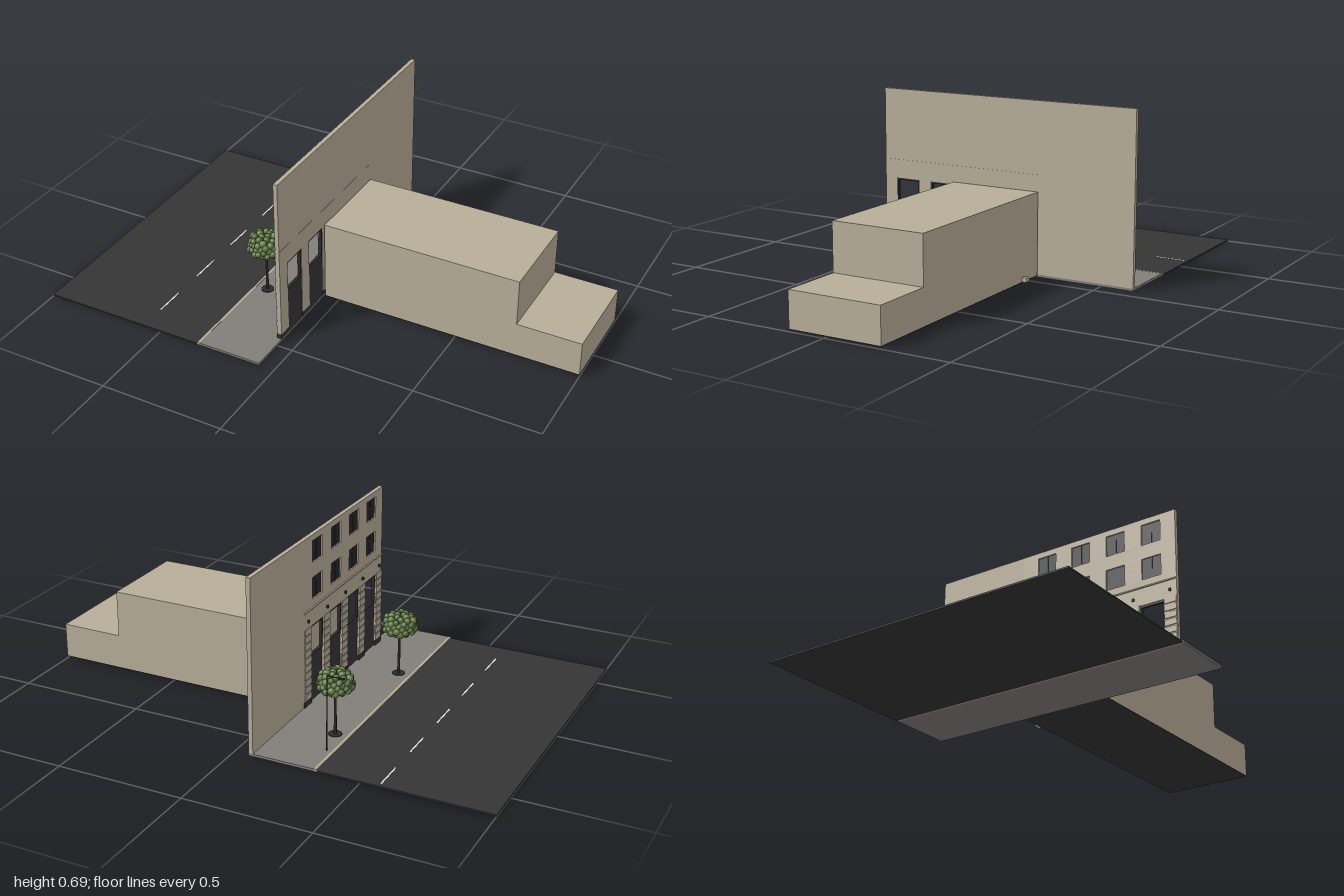
import * as THREE from 'three';

const mat = (name, color) => {
  const m = new THREE.MeshStandardMaterial({ color });
  m.name = name;
  return m;
};

export function createModel() {
  const root = new THREE.Group();
  root.name = 'streetBuilding';
  const stone = mat('stone', 0xb8ae99);
  const asphalt = mat('asphalt', 0x353535);
  const paving = mat('paving', 0x827e7a);
  const white = mat('roadPaint', 0xf2f2f2);
  const glass = mat('darkGlass', 0x242628);
  const metal = mat('darkMetal', 0x2c2c2c);
  const leaf = mat('leaf', 0x66804a);
  const leafDark = mat('leafDark', 0x57713d);

  // Box from its minimum and maximum along each axis
  const box = (name, m, x0, x1, y0, y1, z0, z1, parent = root) => {
    const mesh = new THREE.Mesh(new THREE.BoxGeometry(x1 - x0, y1 - y0, z1 - z0), m);
    mesh.position.set((x0 + x1) / 2, (y0 + y1) / 2, (z0 + z1) / 2);
    mesh.name = name;
    parent.add(mesh);
    return mesh;
  };
  const rod = (name, m, r0, r1, x, y0, y1, z, parent = root) => {
    const mesh = new THREE.Mesh(new THREE.CylinderGeometry(r1, r0, y1 - y0, 10), m);
    mesh.position.set(x, (y0 + y1) / 2, z);
    mesh.name = name;
    parent.add(mesh);
    return mesh;
  };

  // Road, kerb and pavement
  box('road', asphalt, -1, -0.33, 0, 0.006, -0.635, 0.635);
  box('kerb', stone, -0.332, -0.322, 0.001, 0.0115, -0.635, 0.635);
  box('pavement', paving, -0.322, -0.062, 0.001, 0.011, -0.635, 0.635);
  for (let i = 0; i < 5; i++) {
    const z = -0.618 + i * 0.254;
    box('roadDash', white, -0.575, -0.569, 0.006, 0.007, z, z + 0.126);
  }

  // Rear volumes with a dark floor slab
  box('mainHall', stone, -0.055, 0.745, 0.011, 0.337, -0.233, 0.145);
  box('rearAnnex', stone, 0.745, 1, 0.011, 0.149, -0.233, 0.145);
  box('floorSlab', asphalt, -0.055, 1, 0.008, 0.011, -0.233, 0.145);
  box('wallUnit', stone, 0.042, 0.065, 0.011, 0.028, -0.252, -0.233);

  // Street wall: plain side, then the facade
  const back = -0.062, mid = -0.07, front = -0.079;
  const bays = [-0.1175, 0.0425, 0.2025, 0.3625];
  box('plainWall', stone, front, back, 0.011, 0.687, -0.635, -0.23);
  const facade = new THREE.Group();
  facade.name = 'facade';
  root.add(facade);
  box('upperWallBack', stone, mid, back, 0.332, 0.687, -0.23, 0.47, facade);

  // Front layer of the upper wall, with recessed windows
  const shape = new THREE.Shape();
  shape.moveTo(-0.23, 0.332).lineTo(0.47, 0.332).lineTo(0.47, 0.687).lineTo(-0.23, 0.687).closePath();
  const rows = [0.475, 0.62], hw = 0.042, hh = 0.043;
  for (const z of bays) for (const y of rows) {
    const hole = new THREE.Path();
    hole.moveTo(z - hw, y - hh).lineTo(z - hw, y + hh).lineTo(z + hw, y + hh).lineTo(z + hw, y - hh).closePath();
    shape.holes.push(hole);
    box('upperWindow', glass, mid - 0.003, mid, y - hh, y + hh, z - hw, z + hw, facade);
    box('windowMullion', metal, mid - 0.005, mid - 0.003, y - hh, y + hh, z - 0.002, z + 0.002, facade);
  }
  const geo = new THREE.ExtrudeGeometry(shape, { depth: mid - front, bevelEnabled: false });
  geo.rotateY(-Math.PI / 2).translate(mid, 0, 0);
  const upper = new THREE.Mesh(geo, stone);
  upper.name = 'upperWallFront';
  facade.add(upper);
  box('cornice', stone, -0.085, back + 0.001, 0.397, 0.402, -0.23, 0.47, facade);

  // Banded piers with a dark plinth and a small lamp over each
  for (let i = 0; i < 5; i++) {
    const z = -0.1975 + i * 0.16, w = i ? 0.0275 : 0.0325;
    box('pier', stone, front, back, 0.032, 0.332, z - w, z + 0.0275, facade);
    box('plinth', asphalt, -0.083, back, 0.011, 0.032, z - w, z + 0.0275, facade);
    for (let k = 0; k < 10; k++) {
      const y = 0.034 + k * 0.03;
      box('pierBlock', stone, -0.083, front, y, y + 0.024, z - 0.026, z + 0.026, facade);
    }
    box('pierLamp', metal, -0.087, front, 0.352, 0.362, z - 0.004, z + 0.004, facade);
  }

  // Shopfront bays: solid lower panel and open framed window above
  for (const z of bays) {
    const a = z - 0.0525, b = z + 0.0525;
    box('lowerPanel', asphalt, -0.074, -0.064, 0.011, 0.2, a, b, facade);
    box('frameSill', metal, -0.076, -0.064, 0.2, 0.205, a, b, facade);
    box('frameHead', metal, -0.076, -0.064, 0.319, 0.326, a, b, facade);
    box('bayLintel', stone, front, back, 0.326, 0.332, a, b, facade);
    for (const [p, q] of [[a, a + 0.005], [b - 0.005, b]])
      box('frameSide', metal, -0.076, -0.064, 0.205, 0.319, p, q, facade);
  }

  // Trees with clustered foliage
  const puff = new THREE.SphereGeometry(1, 10, 8);
  for (const z of [-0.365, 0.215]) {
    const tree = new THREE.Group();
    tree.name = 'tree';
    tree.position.set(-0.275, 0, z);
    root.add(tree);
    rod('treeGrate', metal, 0.026, 0.026, 0, 0.011, 0.014, 0, tree);
    rod('trunk', metal, 0.006, 0.004, 0, 0.011, 0.2, 0, tree);
    for (let i = 0; i < 4; i++) {
      const branch = rod('branch', metal, 0.002, 0.002, 0, 0, 0.06, 0, tree);
      const t = i * Math.PI / 2 + 0.4;
      const dir = new THREE.Vector3(Math.cos(t), 1, Math.sin(t)).normalize();
      branch.quaternion.setFromUnitVectors(new THREE.Vector3(0, 1, 0), dir);
      branch.position.set(0, 0.16, 0).addScaledVector(dir, 0.03);
    }
    const n = 80;
    for (let i = 0; i < n; i++) {
      const v = 1 - 2 * (i + 0.5) / n, r = Math.sqrt(1 - v * v), t = i * 2.39996;
      const k = 0.92 + 0.1 * Math.sin(i * 12.7);
      const ball = new THREE.Mesh(puff, i % 3 ? leaf : leafDark);
      ball.name = 'foliage';
      ball.position.set(0.066 * k * r * Math.cos(t), 0.223 + 0.041 * k * v, 0.066 * k * r * Math.sin(t));
      ball.scale.setScalar(0.0135 + 0.002 * Math.sin(i * 5.3));
      tree.add(ball);
    }
  }

  // Street lamp
  const lamp = new THREE.Group();
  lamp.name = 'streetLamp';
  root.add(lamp);
  rod('lampPole', metal, 0.003, 0.002, -0.302, 0.011, 0.308, -0.49, lamp);
  box('lampArm', metal, -0.35, -0.3, 0.305, 0.308, -0.4915, -0.4885, lamp);
  box('lampHead', metal, -0.37, -0.345, 0.303, 0.309, -0.494, -0.486, lamp);

  return root;
}
